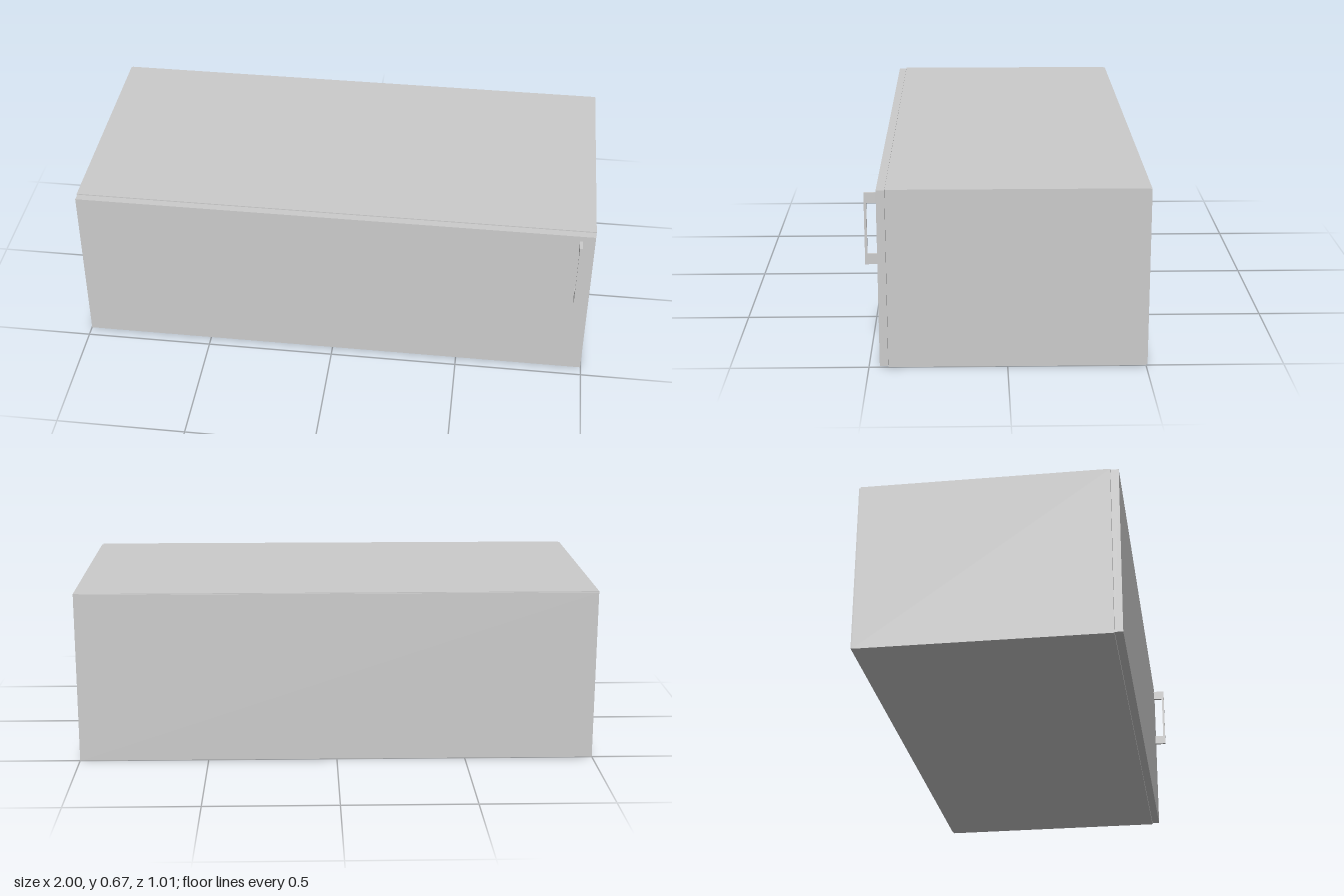
import * as THREE from 'three';

const material = new THREE.MeshStandardMaterial({ color: 0xcccccc, flatShading: true });

// Box given by its minimum and maximum corners
function panel(name, [x0, y0, z0], [x1, y1, z1]) {
  const mesh = new THREE.Mesh(new THREE.BoxGeometry(x1 - x0, y1 - y0, z1 - z0), material);
  mesh.position.set((x0 + x1) / 2, (y0 + y1) / 2, (z0 + z1) / 2);
  mesh.name = name;
  return mesh;
}

export function createModel() {
  const model = new THREE.Group();
  model.name = 'wallCabinet';

  const H = 0.667, T = 0.03, BACK = -0.5, FRONT = 0.43;

  // Carcass: two sides, bottom and top boards
  const carcass = new THREE.Group();
  carcass.name = 'carcass';
  carcass.add(
    panel('rightSide', [-1, 0, BACK], [-1 + T, H, FRONT]),
    panel('leftSide', [1 - T, 0, BACK], [1, H, FRONT]),
    panel('bottomBoard', [-1 + T, 0, BACK], [1 - T, T, FRONT]),
    panel('topBoard', [-1 + T, H - T, BACK], [1 - T, H, FRONT])
  );
  model.add(carcass);

  // Thin back sheet, slightly smaller than the carcass
  model.add(panel('backPanel', [-0.997, 0.003, -0.506], [0.997, H - 0.003, BACK]));

  // Flap door covering the whole front
  model.add(panel('door', [-0.998, 0.004, FRONT + 0.001], [0.998, H - 0.003, 0.461]));

  // Flat bracket handle: a C outline in the z-y plane, extruded along x
  const outline = new THREE.Shape([
    [0.461, 0.376], [0.507, 0.376], [0.507, 0.642], [0.461, 0.642],
    [0.461, 0.604], [0.498, 0.604], [0.498, 0.414], [0.461, 0.414],
  ].map(([z, y]) => new THREE.Vector2(-z, y)));
  const geometry = new THREE.ExtrudeGeometry(outline, { depth: 0.011, bevelEnabled: false });
  geometry.rotateY(Math.PI / 2);
  const handle = new THREE.Mesh(geometry, material);
  handle.position.x = 0.94;
  handle.name = 'handle';
  model.add(handle);

  return model;
}
